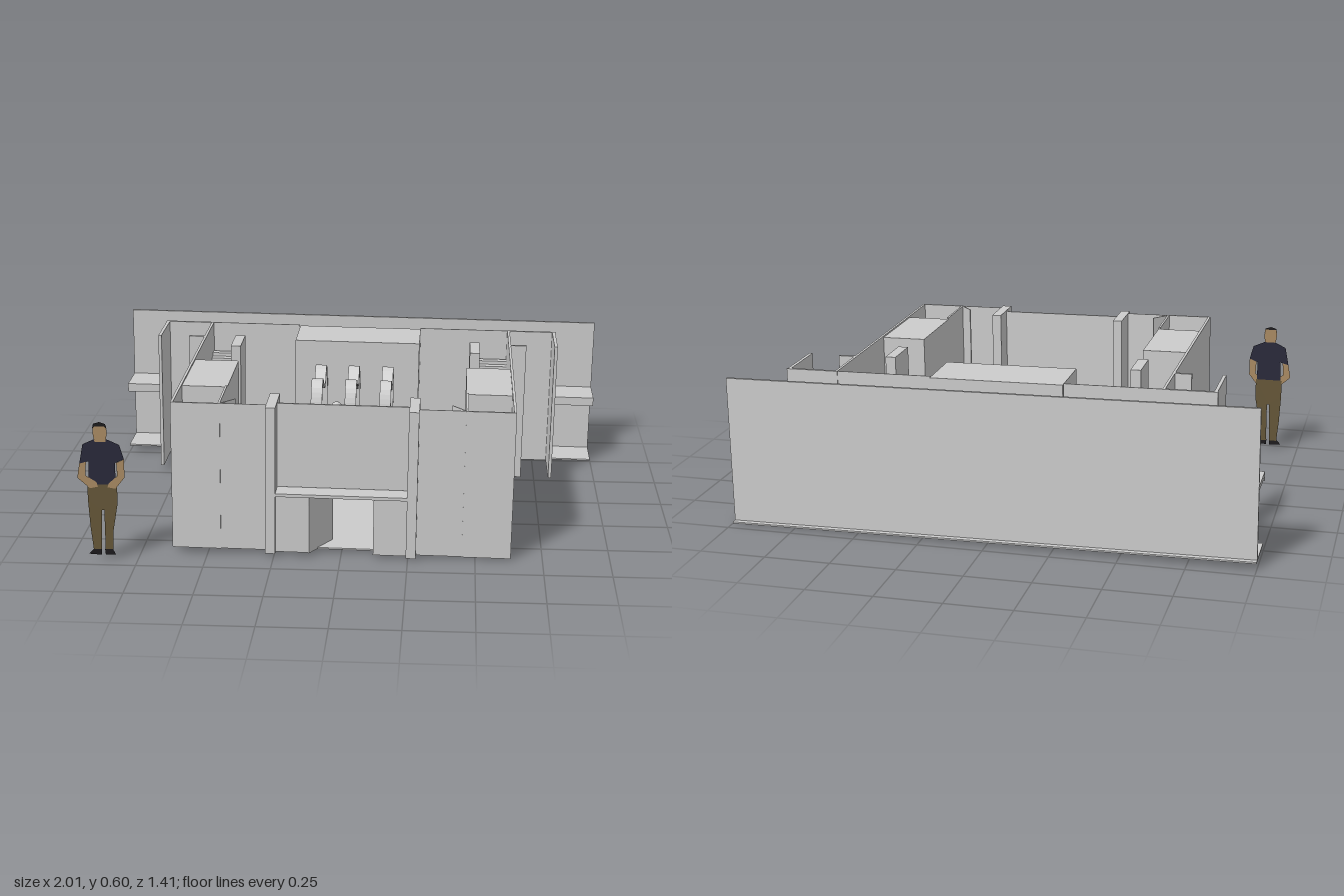
import * as THREE from 'three';

const H = 0.57; // wall height
const grey = new THREE.MeshStandardMaterial({ color: 0xcccccc, side: THREE.DoubleSide });

export function createModel() {
  const model = new THREE.Group();
  const booth = new THREE.Group();
  booth.name = 'booth';
  booth.position.y = 0.015;
  booth.rotation.z = -0.0138; // the booth stands on a slight slope
  model.add(booth);

  const add = (name, geometry) => {
    const mesh = new THREE.Mesh(geometry, grey);
    mesh.name = name;
    booth.add(mesh);
    return mesh;
  };
  // box given by its minimum and maximum on each axis
  const box = (name, x0, x1, y0, y1, z0, z1) => {
    const g = new THREE.BoxGeometry(x1 - x0, y1 - y0, z1 - z0);
    return add(name, g.translate((x0 + x1) / 2, (y0 + y1) / 2, (z0 + z1) / 2));
  };
  // the same box on both sides
  const pair = (name, x0, x1, y0, y1, z0, z1) => {
    box(name + 'Left', x0, x1, y0, y1, z0, z1);
    box(name + 'Right', -x1, -x0, y0, y1, z0, z1);
  };
  // upright thin leaf between two points of the plan
  const leaf = (name, ax, az, bx, bz, h) => {
    const g = new THREE.BoxGeometry(Math.hypot(bx - ax, bz - az), h, 0.004);
    const m = add(name, g);
    m.position.set((ax + bx) / 2, h / 2, (az + bz) / 2);
    m.rotation.y = -Math.atan2(bz - az, bx - ax);
  };

  // floors, back wall and the long shelf on it
  box('mainFloor', -0.63, 0.63, 0, 0.006, -0.51, 0.585);
  box('backFloor', -1, 1, 0, 0.006, -0.704, -0.51);
  box('backWall', -1, 1, 0, H, -0.682, -0.67);
  box('backShelf', -1, 1, 0.265, 0.283, -0.67, -0.51);
  box('shelfLip', -1, 1, 0.248, 0.265, -0.516, -0.51);

  // outer walls, wings and fins
  pair('sideWall', 0.622, 0.632, 0, H, -0.51, 0.615);
  pair('rearWall', 0.255, 0.63, 0, H, -0.507, -0.503);
  pair('wingBack', 0.63, 0.825, 0, H, -0.51, -0.498);
  pair('wingSide', 0.81, 0.823, 0, H, -0.5, -0.275);
  pair('fin', 0.632, 0.695, 0, H, -0.29, -0.277);

  // raised blocks with open closets in the front corners
  pair('block', 0.45, 0.623, 0, H - 0.006, 0.04, 0.39);
  pair('closetWall', 0.45, 0.458, 0, H, 0.39, 0.615);
  pair('closetFront', 0.45, 0.63, 0, H, 0.607, 0.615);
  pair('frontWall', 0.28, 0.45, 0, H, 0.608, 0.611);
  leaf('closetDoorLeft', 0.45, 0.607, 0.4, 0.55, H);
  leaf('closetDoorRight', -0.45, 0.607, -0.4, 0.55, H);

  // front window bay with a counter and a half-open gate
  pair('bayPillar', 0.243, 0.28, 0, H, 0.47, 0.648);
  box('bayPanel', -0.245, 0.245, 0.24, H - 0.005, 0.565, 0.573);
  box('counter', -0.245, 0.245, 0.226, 0.238, 0.5, 0.646);
  pair('lowPanel', 0.12, 0.245, 0, 0.228, 0.617, 0.625);
  leaf('gate', -0.12, 0.63, -0.04, 0.5, 0.226);

  // inner cabinet and pillars
  box('cabinet', -0.253, 0.257, 0, H - 0.005, -0.51, -0.28);
  pair('innerPillar', 0.463, 0.503, 0, H + 0.005, -0.29, -0.13);

  // stepped stands along both sides, climbing to the back
  const steps = 14, depth = 0.43 / steps;
  for (let i = 0; i < steps; i++) {
    const z = -0.06 - i * depth;
    pair('step' + (i + 1), 0.49, 0.622, 0, 0.26 + i * 0.0145, z - depth, z);
  }

  // waving display bands in front of the cabinet
  const band = (x, drop) => {
    const curve = new THREE.CatmullRomCurve3(
      [[-0.255, 0.3], [-0.25, 0.42], [-0.2, 0.48], [-0.13, 0.42], [-0.07, 0.44], [0, 0.48], [0.045, 0.4], [0.04, 0.3 - drop]]
        .map(([z, y]) => new THREE.Vector3(z, y, 0)));
    const pts = curve.getPoints(40);
    const edge = (side) => pts.map((p, i) => {
      const t = curve.getTangent(i / 40);
      return new THREE.Vector2(p.x - t.y * 0.006 * side, p.y + t.x * 0.006 * side);
    });
    const shape = new THREE.Shape([...edge(1), ...edge(-1).reverse()]);
    const g = new THREE.ExtrudeGeometry(shape, { depth: 0.045, bevelEnabled: false });
    add('displayBand', g.rotateY(-Math.PI / 2).translate(x + 0.0225, 0, 0));
  };
  band(-0.14, 0);
  band(-0.005, 0.14);
  band(0.133, 0);

  // grid of balls at varied heights
  const xs = [-0.215, -0.075, 0.065, 0.2], zs = [-0.19, -0.08, 0.03];
  xs.forEach((x, i) => zs.forEach((z, j) => {
    add('ball', new THREE.SphereGeometry(0.023, 20, 14)).position.set(x, 0.26 + 0.025 * ((i * 2 + j) % 3), z);
  }));

  model.add(createPerson());
  return model;
}

// flat cut-out figure for scale
function createPerson() {
  const person = new THREE.Group();
  person.name = 'standingFigure';
  person.position.set(-0.87, 0, 0.703);
  const part = (name, color, points, z = 0) => {
    const shape = new THREE.Shape(points.map(([x, y]) => new THREE.Vector2(x, y)));
    const material = new THREE.MeshStandardMaterial({ color, side: THREE.DoubleSide });
    const mesh = new THREE.Mesh(new THREE.ShapeGeometry(shape), material);
    mesh.name = name;
    mesh.position.z = z;
    person.add(mesh);
  };
  const skin = 0xa98a62, dark = 0x1c1a1c;
  part('trousers', 0x655638, [[-0.055, 0.31], [0.055, 0.31], [0.055, 0.23], [0.035, 0.12], [0.03, 0.04],
    [0.002, 0.04], [0.004, 0.2], [-0.004, 0.2], [-0.012, 0.04], [-0.042, 0.04], [-0.05, 0.13], [-0.055, 0.24]]);
  part('shirt', 0x28283a, [[-0.022, 0.475], [0.025, 0.475], [0.07, 0.455], [0.085, 0.4], [0.052, 0.385],
    [0.05, 0.3], [-0.05, 0.3], [-0.045, 0.39], [-0.08, 0.38], [-0.065, 0.455]], 0.001);
  part('leftArm', skin, [[0.056, 0.386], [0.085, 0.4], [0.085, 0.33], [0.05, 0.285], [0.02, 0.29], [0.025, 0.305], [0.058, 0.335]], 0.002);
  part('rightArm', skin, [[-0.08, 0.38], [-0.055, 0.388], [-0.06, 0.335], [-0.02, 0.31], [-0.015, 0.292], [-0.045, 0.285], [-0.09, 0.325]], 0.002);
  part('head', skin, [[-0.02, 0.465], [0.02, 0.465], [0.027, 0.5], [0.024, 0.53], [-0.024, 0.53], [-0.026, 0.5]], 0.002);
  part('hair', dark, [[-0.027, 0.515], [-0.018, 0.525], [0.018, 0.525], [0.027, 0.515], [0.022, 0.535], [0, 0.542], [-0.022, 0.535]], 0.003);
  part('leftShoe', dark, [[0, 0.045], [0.03, 0.045], [0.04, 0.025], [0.002, 0.022]], 0.001);
  part('rightShoe', dark, [[-0.042, 0.045], [-0.012, 0.045], [-0.012, 0.022], [-0.06, 0.025]], 0.001);
  return person;
}
